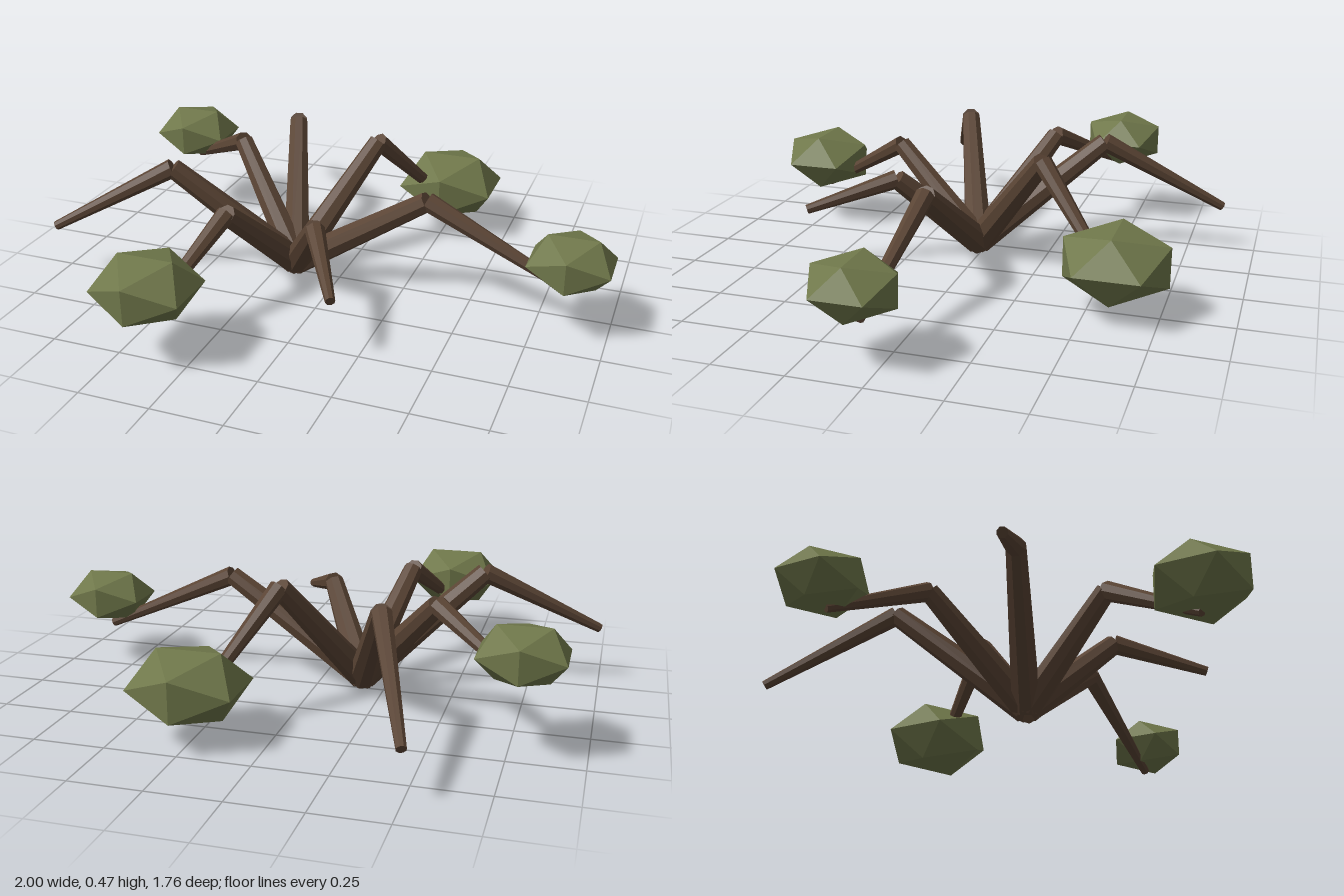
import * as THREE from 'three';

const bark = new THREE.MeshStandardMaterial({ color: 0x5a4434, flatShading: true });
const leaf = new THREE.MeshStandardMaterial({ color: 0x6f774a, flatShading: true });

const root = [-0.17, 0.035, 0.01];

// Each branch: elbow, tip, and optionally a foliage clump (centre and radius)
const branches = [
  { elbow: [0.34, 0.37, 0.04], tip: [0.85, 0.135, 0.07], clump: [0.857, 0.245, 0.08], size: 0.165 },
  { elbow: [0.01, 0.31, 0.27], tip: [0.175, 0.215, 0.56] },
  { elbow: [-0.28, 0.36, 0.36], tip: [-0.39, 0.145, 0.72], clump: [-0.39, 0.248, 0.725], size: 0.188 },
  { elbow: [-0.58, 0.415, 0.17], tip: [-0.99, 0.19, 0.335] },
  { elbow: [-0.475, 0.395, -0.215], tip: [-0.77, 0.235, -0.42], clump: [-0.783, 0.325, -0.43], size: 0.166 },
  { elbow: [-0.335, 0.42, -0.435], tip: [-0.495, 0.16, -0.87] },
  { elbow: [0.05, 0.435, -0.29], tip: [0.25, 0.11, -0.58], clump: [0.26, 0.178, -0.597], size: 0.212 },
];

// Tapered eight-sided limb between two points
function limb(name, from, to, r0, r1) {
  const a = new THREE.Vector3(...from);
  const dir = new THREE.Vector3(...to).sub(a);
  const mesh = new THREE.Mesh(new THREE.CylinderGeometry(r1, r0, dir.length(), 8), bark);
  mesh.position.copy(a).addScaledVector(dir, 0.5);
  mesh.quaternion.setFromUnitVectors(new THREE.Vector3(0, 1, 0), dir.normalize());
  mesh.name = name;
  return mesh;
}

export function createModel() {
  const model = new THREE.Group();
  model.name = 'shrub';
  for (const { elbow, tip, clump, size } of branches) {
    const branch = new THREE.Group();
    branch.name = 'branch';
    branch.add(limb('lowerBranch', root, elbow, 0.053, 0.036));
    branch.add(limb('upperBranch', elbow, tip, 0.035, 0.017));
    // Flattened faceted foliage
    if (clump) {
      const foliage = new THREE.Mesh(new THREE.IcosahedronGeometry(size, 0), leaf);
      foliage.scale.y = 0.64;
      foliage.position.set(...clump);
      foliage.name = 'foliage';
      branch.add(foliage);
    }
    model.add(branch);
  }
  return model;
}
